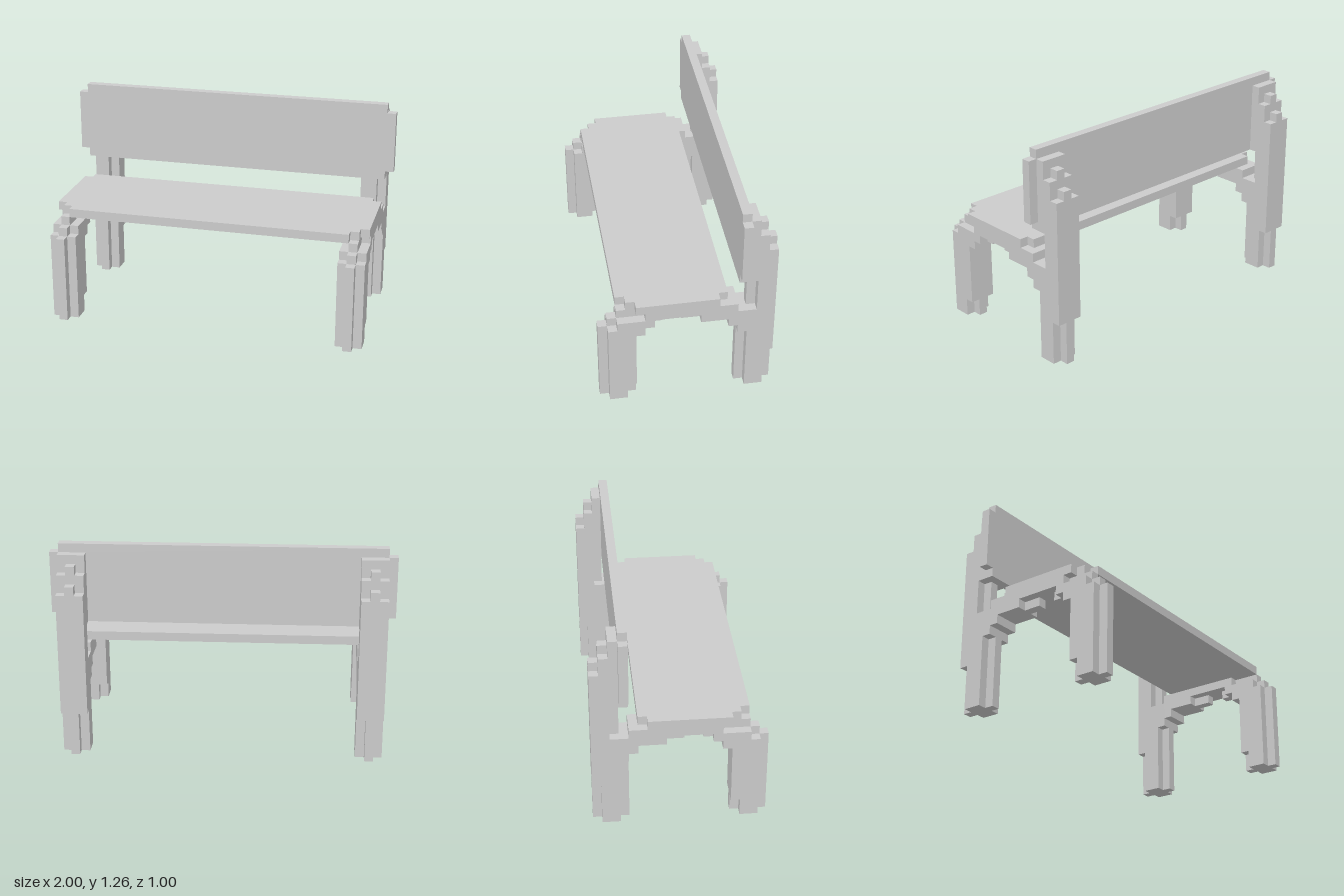
import * as THREE from 'three';

// Everything lies on a cubic grid: 38 wide, 24 high, 19 deep.
const UNIT = 1 / 19;
const WIDTH = 38, DEPTH = 19;

const material = new THREE.MeshStandardMaterial({ color: 0xcccccc, flatShading: true });

function extrude(points, depth) {
  const shape = new THREE.Shape(points.map(([a, b]) => new THREE.Vector2(a, b)));
  return new THREE.ExtrudeGeometry(shape, { depth, bevelEnabled: false });
}

// Moves grid coordinates to the centred, scaled frame
function part(name, geometry) {
  geometry.translate(-WIDTH / 2, 0, -DEPTH / 2).scale(UNIT, UNIT, UNIT);
  const mesh = new THREE.Mesh(geometry, material);
  mesh.name = name;
  return mesh;
}

// Slab one unit thick cut from a [z, y] side profile, starting at x
function slab(name, profile, x) {
  return part(name, extrude(profile, 1).rotateY(-Math.PI / 2).translate(x + 1, 0, 0));
}

// Side profiles [z, y]: a core slab between two cheek slabs rounds each member
const members = {
  frontLeg: {
    core: [[15, 0], [19, 0], [19, 10], [18, 10], [18, 11], [17, 11], [17, 12], [14, 12], [14, 9], [15, 9]],
    cheek: [[16, 0], [18, 0], [18, 10], [17, 10], [17, 11], [14, 11], [14, 9], [15, 9], [15, 2], [16, 2]],
  },
  sideRail: {
    core: [[14, 12], [4, 12], [4, 9], [5, 9], [5, 10], [10, 10], [10, 11], [12, 11], [12, 10], [14, 10]],
    cheek: [[14, 12], [4, 12], [4, 9], [5, 9], [5, 10], [8, 10], [8, 11], [13, 11], [13, 10], [14, 10]],
  },
  backPost: {
    core: [[0, 0], [4, 0], [4, 11], [3, 11], [3, 23], [2, 23], [2, 22], [1, 22], [1, 20], [0, 20]],
    cheek: [[1, 0], [3, 0], [3, 8], [4, 8], [4, 11], [2, 11], [2, 15], [3, 15], [3, 23], [2, 23],
      [2, 21], [1, 21], [1, 19], [0, 19], [0, 5], [1, 5]],
  },
};

// Completes a left-half outline with its mirror image
function mirrored(half) {
  return [...half, ...half.map(([x, b]) => [WIDTH - x, b]).reverse()];
}

export function createModel() {
  const model = new THREE.Group();
  model.name = 'bench';

  // Seat board: plan outline [x, z] with stepped corners
  const seat = mirrored([[2, 5], [2, 6], [1, 6], [1, 15], [2, 15], [2, 16], [3, 16], [3, 17]]);
  model.add(part('seat', extrude(seat, 1).rotateX(Math.PI / 2).translate(0, 13, 0)));

  // Backrest board: front outline [x, y] with notched corners
  const backrest = mirrored([[1, 15], [1, 16], [0, 16], [0, 23], [1, 23], [1, 24]]);
  model.add(part('backrest', extrude(backrest, 1).translate(0, 0, 3)));

  // End frames: front leg, rail and back post on each side
  for (const [side, x] of [['right', 1], ['left', WIDTH - 4]]) {
    const frame = new THREE.Group();
    frame.name = `${side}EndFrame`;
    for (const [name, { core, cheek }] of Object.entries(members)) {
      const member = new THREE.Group();
      member.name = name;
      member.add(
        slab(`${name}Cheek`, cheek, x),
        slab(`${name}Core`, core, x + 1),
        slab(`${name}Cheek`, cheek, x + 2),
      );
      frame.add(member);
    }
    model.add(frame);
  }
  return model;
}
